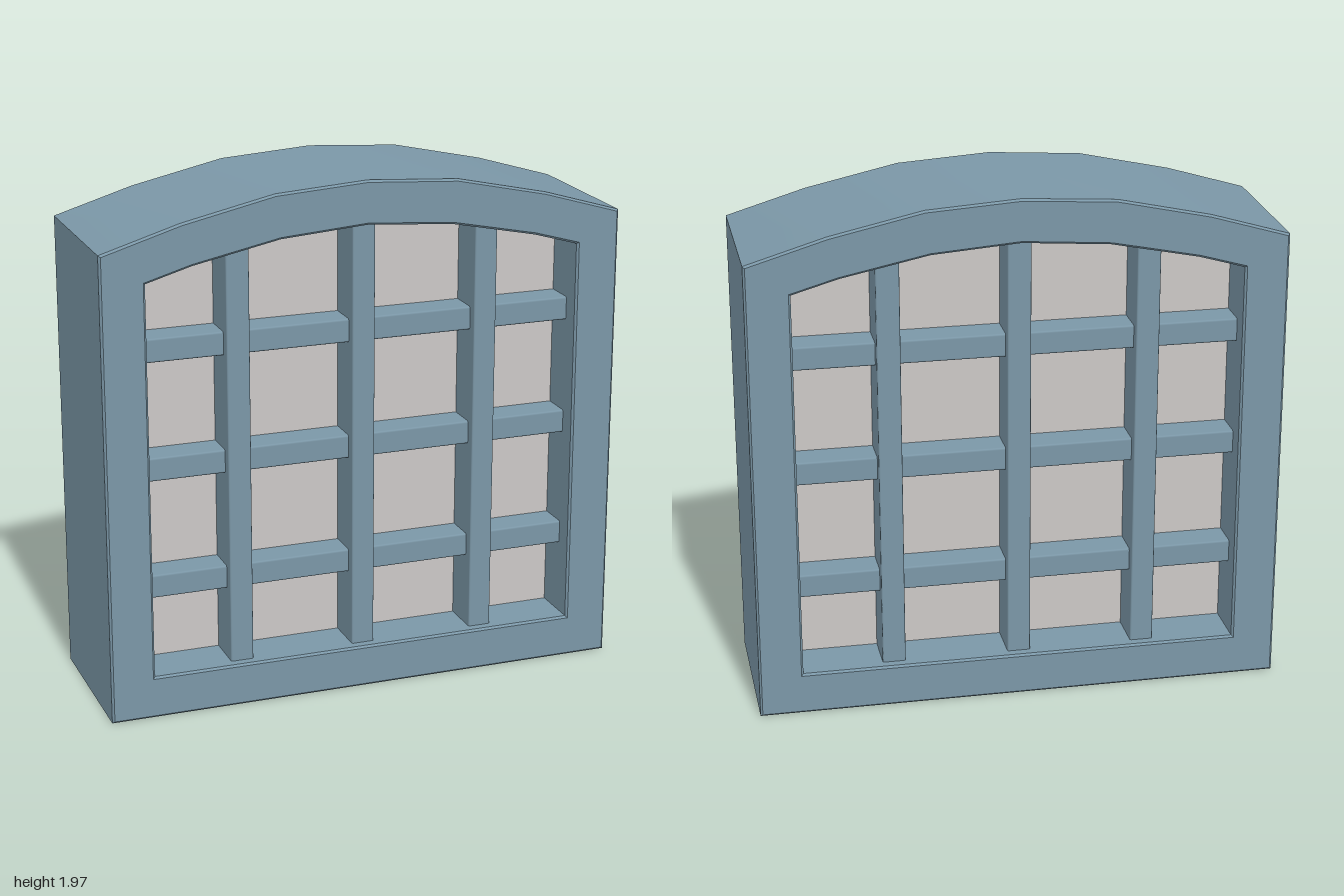
import * as THREE from 'three';
import { toCreasedNormals } from 'three/addons/utils/BufferGeometryUtils.js';
import { RoundedBoxGeometry } from 'three/addons/geometries/RoundedBoxGeometry.js';

// Symmetric arched outline: base y, then the right half of the arch from side to crown
function archPoints(bottom, half) {
  const w = half[0][0];
  const left = half.slice(0, -1).reverse().map(([x, y]) => [-x, y]);
  return [[-w, bottom], [w, bottom], ...half, ...left].map(([x, y]) => new THREE.Vector2(x, y));
}

export function createModel() {
  const model = new THREE.Group();
  const paint = new THREE.MeshStandardMaterial({ color: 0x7b97a7 });
  paint.name = 'blue grey paint';
  const glass = new THREE.MeshStandardMaterial({ color: 0xcbc8c6 });
  glass.name = 'pale grey glass';

  const add = (name, geometry, material, x = 0, y = 0, z = 0) => {
    const mesh = new THREE.Mesh(geometry, material);
    mesh.name = name;
    mesh.position.set(x, y, z);
    model.add(mesh);
  };

  const outer = archPoints(0.01, [[1, 1.79], [0.7, 1.88], [0.35, 1.957], [0, 1.98]]);
  const inner = archPoints(0.173, [[0.833, 1.672], [0.66, 1.722], [0.33, 1.79], [0, 1.815]]);

  // Deep arched frame with a fine bevel
  const frame = new THREE.Shape(outer);
  frame.holes.push(new THREE.Path(inner));
  const bevel = 0.008;
  const frameGeometry = new THREE.ExtrudeGeometry(frame, {
    depth: 0.64 - 2 * bevel, bevelEnabled: true, bevelSegments: 1,
    bevelSize: bevel, bevelThickness: bevel, bevelOffset: -bevel,
  });
  frameGeometry.translate(0, 0, -0.32 + bevel);
  add('frame', toCreasedNormals(frameGeometry, 0.5), paint);

  // Glass panel filling the middle of the opening
  const panel = new THREE.ExtrudeGeometry(new THREE.Shape(inner), { depth: 0.24, bevelEnabled: false });
  add('glassPanel', panel, glass, 0, 0, -0.12);

  // Vertical bars run through to both sides, their ends buried in the frame
  for (const [x, top] of [[-0.482, 1.81], [0, 1.86], [0.482, 1.81]]) {
    const height = top - 0.13;
    add('verticalBar', new RoundedBoxGeometry(0.088, height, 0.56, 1, 0.006), paint, x, 0.13 + height / 2);
  }

  // Horizontal bars sit slightly further back
  for (const y of [0.498, 0.953, 1.403]) {
    add('horizontalBar', new RoundedBoxGeometry(1.74, 0.09, 0.48, 1, 0.008), paint, 0, y);
  }

  return model;
}
